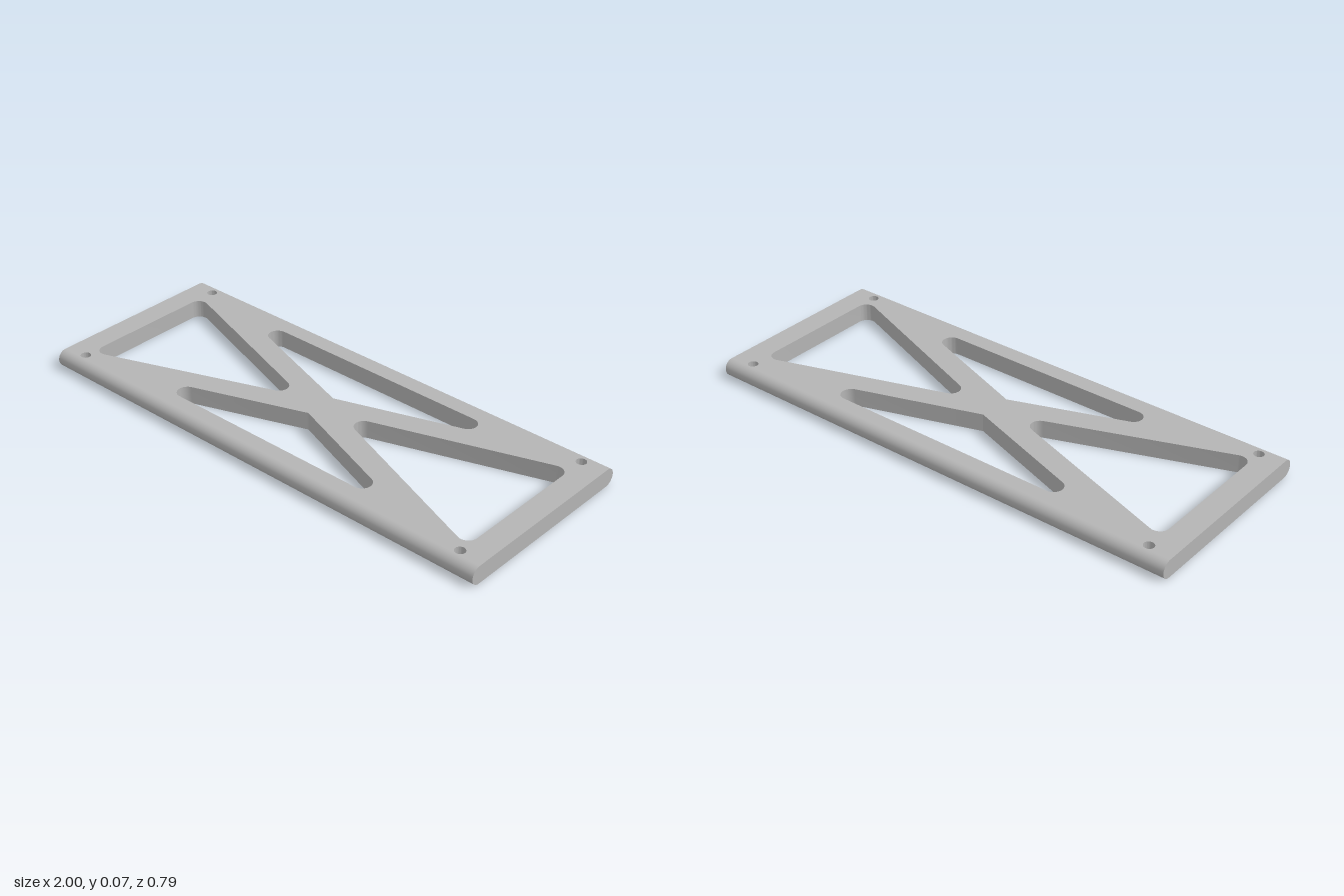
import * as THREE from 'three';
import { toCreasedNormals } from 'three/addons/utils/BufferGeometryUtils.js';

const HEIGHT = 0.071, R = HEIGHT / 2, FLAT = 0.393 - R, FILLET = 0.0375;

// Closed polygon with tangent-arc corners; each corner is [x, z, radius]
function roundedPath(corners) {
  const path = new THREE.Path();
  const pts = [];
  const n = corners.length;
  corners.forEach(([x, z, r], i) => {
    const p = new THREE.Vector2(x, z);
    if (!r) { pts.push(p); return; }
    const toward = (c) => new THREE.Vector2(c[0] - x, c[1] - z).normalize();
    const a = toward(corners[(i + n - 1) % n]);
    const b = toward(corners[(i + 1) % n]);
    const half = Math.acos(a.dot(b)) / 2;
    const centre = a.clone().add(b).normalize().multiplyScalar(r / Math.sin(half)).add(p);
    const start = a.multiplyScalar(r / Math.tan(half)).add(p).sub(centre).angle();
    const end = b.multiplyScalar(r / Math.tan(half)).add(p).sub(centre).angle();
    let sweep = end - start;
    if (sweep > Math.PI) sweep -= 2 * Math.PI;
    if (sweep < -Math.PI) sweep += 2 * Math.PI;
    for (let k = 0; k <= 14; k++) {
      const t = start + sweep * k / 14;
      pts.push(new THREE.Vector2(centre.x + r * Math.cos(t), centre.y + r * Math.sin(t)));
    }
  });
  return path.setFromPoints([...pts, pts[0].clone()]);
}

export function createModel() {
  const group = new THREE.Group();
  group.name = 'crossBracedPlate';
  const metal = new THREE.MeshStandardMaterial({ color: 0xb4b4b4 });
  metal.name = 'grey metal';

  // Plate outline in plan (shape y is model z)
  const plan = new THREE.Shape([
    new THREE.Vector2(-1, -FLAT), new THREE.Vector2(1, -FLAT),
    new THREE.Vector2(1, FLAT), new THREE.Vector2(-1, FLAT),
  ]);

  // Long triangular windows behind and in front of the cross
  for (const [x, z, apex] of [[0.695, -0.302, -0.067], [0.639, 0.3, 0.067]]) {
    plan.holes.push(roundedPath([[-x, z, FILLET], [x, z, FILLET], [0, apex, 0]]));
  }

  for (const s of [-1, 1]) {
    // Side triangular windows
    plan.holes.push(roundedPath([
      [s * 0.906, -0.276, FILLET], [s * 0.097, -0.002, FILLET], [s * 0.906, 0.305, FILLET],
    ]));
    // Corner screw holes
    for (const z of [-0.337, 0.337]) {
      plan.holes.push(new THREE.Path().absarc(s * 0.905, z, 0.02, 0, Math.PI * 2));
    }
  }

  const plateGeometry = new THREE.ExtrudeGeometry(plan, { depth: HEIGHT, bevelEnabled: false, curveSegments: 16 });
  plateGeometry.rotateX(Math.PI / 2).translate(0, HEIGHT, 0);
  const plate = new THREE.Mesh(toCreasedNormals(plateGeometry, 0.5), metal);
  plate.name = 'plate';
  group.add(plate);

  // Half-round long edges
  for (const [name, s] of [['frontEdge', 1], ['backEdge', -1]]) {
    const geometry = new THREE.CylinderGeometry(R, R, 2, 24, 1, false, -s * Math.PI / 2, Math.PI);
    geometry.rotateZ(Math.PI / 2);
    const edge = new THREE.Mesh(geometry, metal);
    edge.name = name;
    edge.position.set(0, R, s * FLAT);
    group.add(edge);
  }
  return group;
}
